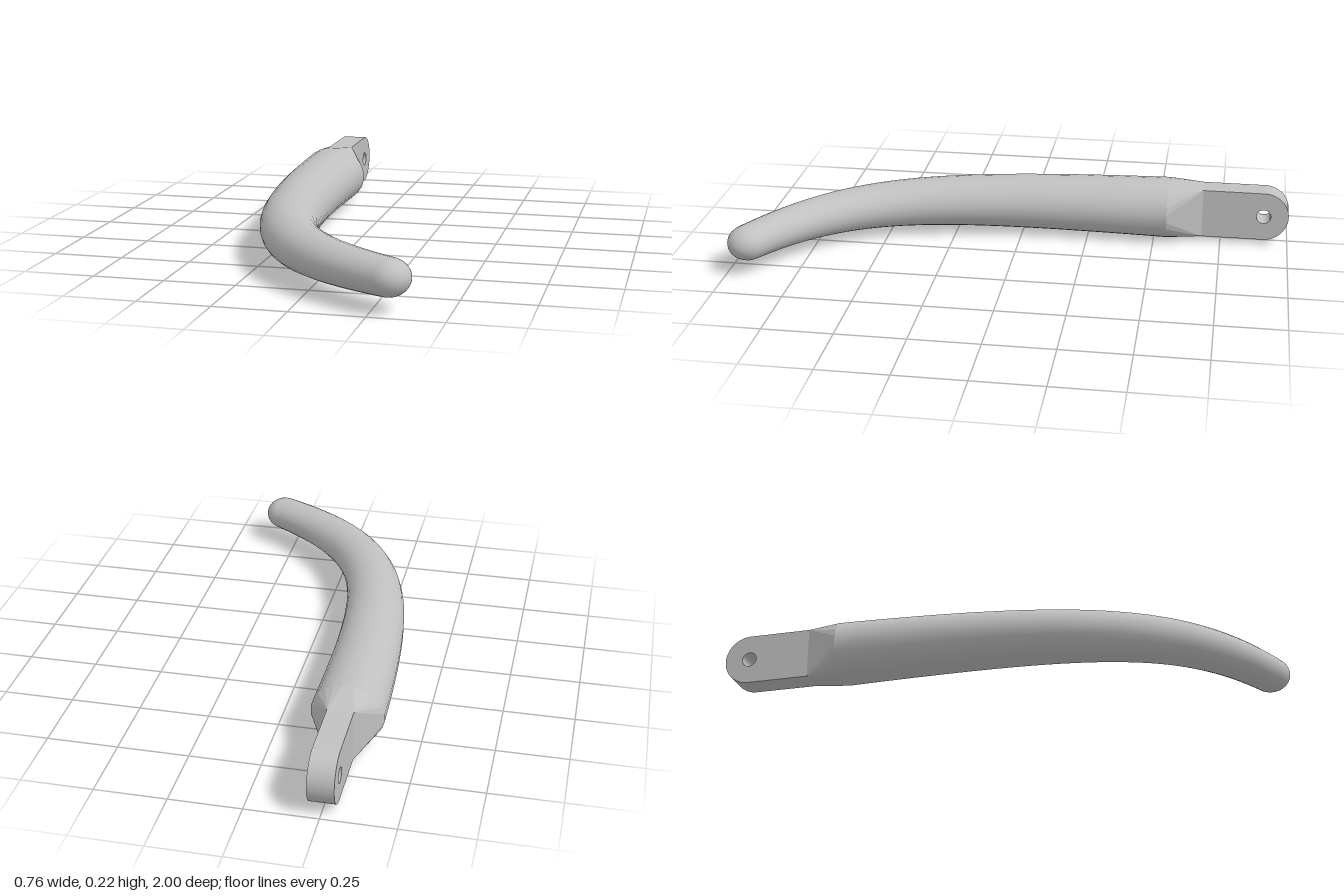
import * as THREE from 'three';

const SIDES = 24, MID_Y = 0.111, AXIS_X = -0.252;
const BACK_Z = -0.68, BODY_Z = -0.55;
const TANG_W = 0.045, TANG_H = 0.0925; // half sizes

// Angles are offset by half a step so flats lie on the four axes
const angle = (j) => ((j + 0.5) / SIDES) * Math.PI * 2;

// Elliptical ring across the horizontal direction t
function ellipseRing(c, t, a, b) {
  return Array.from({ length: SIDES }, (_, j) => {
    const s = Math.cos(angle(j)) * a;
    return [c.x + t.z * s, MID_Y + Math.sin(angle(j)) * b, c.z - t.x * s];
  });
}

// Closed-section skin over a list of rings
function skin(rings) {
  const index = [];
  for (let i = 0; i < rings.length - 1; i++) {
    for (let j = 0; j < SIDES; j++) {
      const k = (j + 1) % SIDES;
      const a = i * SIDES + j, b = i * SIDES + k;
      index.push(a, b, a + SIDES, b, b + SIDES, a + SIDES);
    }
  }
  const geo = new THREE.BufferGeometry();
  geo.setAttribute('position', new THREE.Float32BufferAttribute(rings.flat(2), 3));
  geo.setIndex(index);
  geo.computeVertexNormals();
  return geo;
}

export function createModel() {
  const group = new THREE.Group();
  const metal = new THREE.MeshStandardMaterial({ color: 0xc0c0c0 });
  const add = (name, geo) => {
    const mesh = new THREE.Mesh(geo, metal);
    mesh.name = name;
    group.add(mesh);
  };

  // Curved tapering lever with a rounded tip
  const path = new THREE.CubicBezierCurve3(
    new THREE.Vector3(AXIS_X, 0, BODY_Z),
    new THREE.Vector3(AXIS_X, 0, 0.35),
    new THREE.Vector3(-0.18, 0, 0.665),
    new THREE.Vector3(0.305, 0, 0.926)
  );
  const A0 = 0.128, A1 = 0.073, B0 = 0.112, B1 = 0.063;
  const rings = [];
  const steps = 40;
  for (let i = 0; i <= steps; i++) {
    const u = i / steps;
    rings.push(ellipseRing(path.getPoint(u), path.getTangent(u),
      THREE.MathUtils.lerp(A0, A1, u), THREE.MathUtils.lerp(B0, B1, u)));
  }
  const end = path.getPoint(1), dir = path.getTangent(1);
  for (let i = 1; i <= 10; i++) {
    const phi = (i / 10) * Math.PI / 2;
    const s = Math.max(Math.cos(phi), 0.001);
    const c = end.clone().addScaledVector(dir, A1 * Math.sin(phi));
    rings.push(ellipseRing(c, dir, A1 * s, B1 * s));
  }
  add('leverArm', skin(rings));

  // Faceted shoulder from the rectangular tang to the oval arm
  const corners = Array.from({ length: SIDES }, (_, j) => [
    AXIS_X + Math.sign(Math.cos(angle(j))) * TANG_W,
    MID_Y + Math.sign(Math.sin(angle(j))) * TANG_H,
    BACK_Z
  ]);
  const shoulder = skin([corners, rings[0]]).toNonIndexed();
  shoulder.computeVertexNormals();
  add('shoulder', shoulder);

  // Flat mounting tang with a round end and pivot hole
  const shape = new THREE.Shape();
  const endX = 1 - TANG_H;
  shape.moveTo(-BACK_Z, -TANG_H);
  shape.lineTo(endX, -TANG_H);
  shape.absarc(endX, 0, TANG_H, -Math.PI / 2, Math.PI / 2, false);
  shape.lineTo(-BACK_Z, TANG_H);
  shape.closePath();
  const hole = new THREE.Path();
  hole.absarc(endX, 0, 0.027, 0, Math.PI * 2, true);
  shape.holes.push(hole);
  const tang = new THREE.ExtrudeGeometry(shape, { depth: TANG_W * 2, bevelEnabled: false, curveSegments: 24 });
  tang.rotateY(Math.PI / 2);
  tang.translate(AXIS_X - TANG_W, MID_Y, 0);
  add('mountingTang', tang);

  return group;
}
